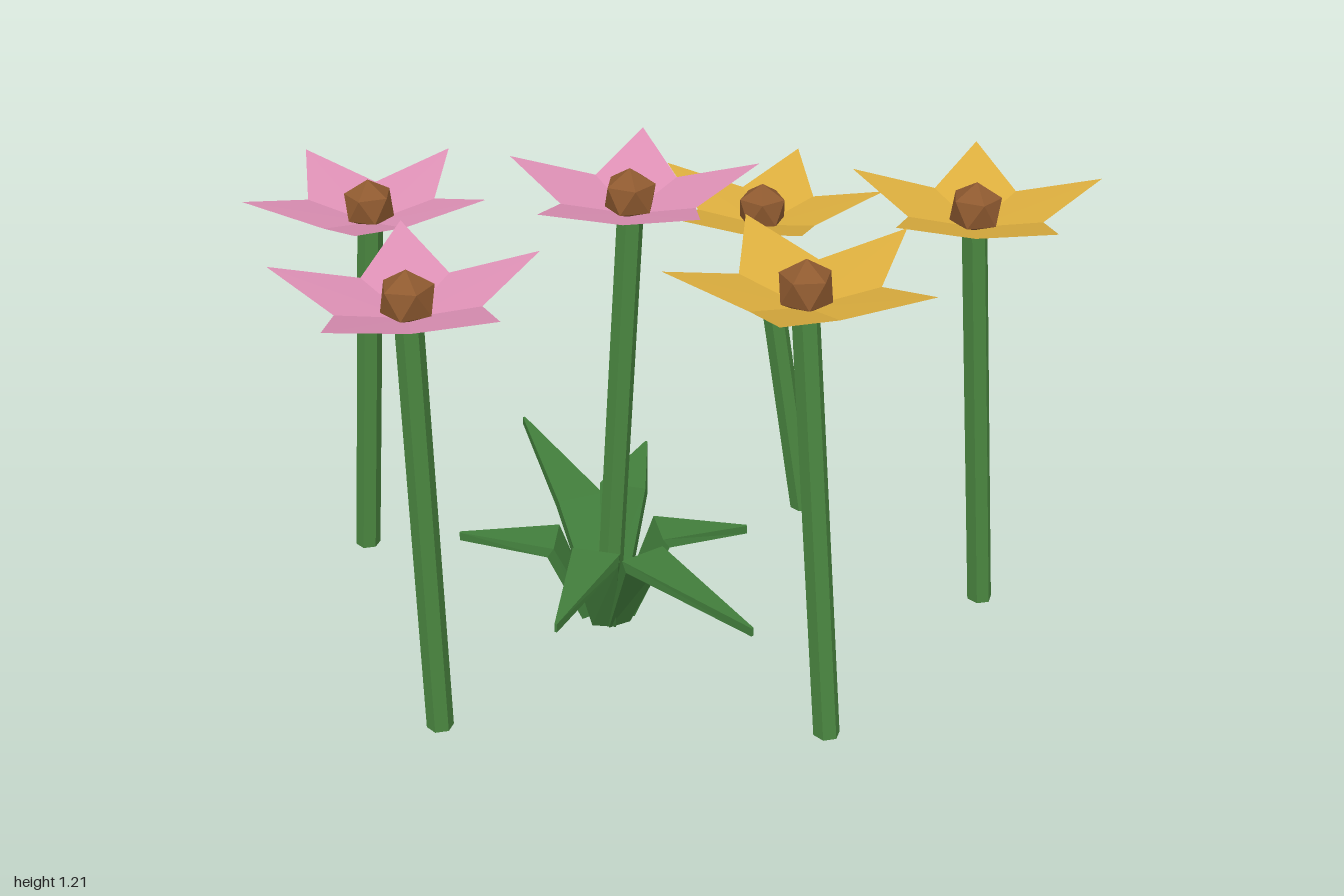
import * as THREE from 'three';

const mat = (name, color, side = THREE.FrontSide) => {
  const m = new THREE.MeshStandardMaterial({ color, side });
  m.name = name;
  return m;
};

// Faceted geometry from a flat list of triangle corners
function facets(corners) {
  const g = new THREE.BufferGeometry().setFromPoints(corners);
  g.computeVertexNormals();
  return g;
}

// Shallow five-pointed bowl of kite-shaped petals
function petalGeometry() {
  const at = (r, y, a) => new THREE.Vector3(r * Math.cos(a), y, -r * Math.sin(a));
  const corners = [];
  const mid = new THREE.Vector3(0, -0.047, 0);
  const step = Math.PI / 5;
  for (let i = 0; i < 5; i++) {
    const a = i * 2 * step;
    const tip = at(0.31, 0.05, a);
    corners.push(mid, at(0.165, -0.006, a - step), tip);
    corners.push(mid, tip, at(0.165, -0.006, a + step));
  }
  return facets(corners);
}

// Six-sided stem from base to top, with level ends
function stemGeometry(base, top) {
  const g = new THREE.CylinderGeometry(0.032, 0.032, 1, 6).rotateY(Math.PI / 6).translate(0, 0.5, 0);
  const d = top.clone().sub(base);
  const shear = new THREE.Matrix4().set(
    1, d.x, 0, base.x,
    0, d.y, 0, base.y,
    0, d.z, 1, base.z,
    0, 0, 0, 1);
  const flat = g.applyMatrix4(shear).toNonIndexed();
  flat.computeVertexNormals();
  return flat;
}

// Leaf: rectangular sections at the base, the bend and the tip
function leafGeometry(centre, bend, tip) {
  const up = new THREE.Vector3(0, 1, 0);
  const out = bend.clone().sub(centre).setY(0).normalize();
  const fold = tip.clone().sub(bend).setY(0).normalize();
  const base = centre.clone().addScaledVector(out, 0.05);
  const section = (p, f, w, t, lean) => {
    const side = f.clone().cross(up).multiplyScalar(w / 2);
    const n = up.clone().multiplyScalar(1 - lean).addScaledVector(f, -lean).normalize().multiplyScalar(t / 2);
    return [[1, -1], [1, 1], [-1, 1], [-1, -1]].map(([s, h]) =>
      p.clone().addScaledVector(side, s).addScaledVector(n, h));
  };
  const rings = [
    section(base, out, 0.06, 0.03, 0.7),
    section(bend, fold, 0.12, 0.03, 0.4),
    section(tip, fold, 0.006, 0.022, 0),
  ];
  const corners = [];
  for (let k = 0; k < 2; k++) {
    for (let i = 0; i < 4; i++) {
      const j = (i + 1) % 4, p = rings[k], q = rings[k + 1];
      corners.push(p[i], q[i], p[j], p[j], q[i], q[j]);
    }
  }
  const [b, , t] = rings;
  corners.push(b[0], b[1], b[2], b[0], b[2], b[3]);
  corners.push(t[0], t[2], t[1], t[0], t[3], t[2]);
  return facets(corners);
}

export function createModel() {
  const model = new THREE.Group();
  model.name = 'flowerPatch';
  const pink = mat('pinkPetal', 0xdd90b5, THREE.DoubleSide);
  const yellow = mat('yellowPetal', 0xdcae3e, THREE.DoubleSide);
  const brown = mat('brownCentre', 0x8f5a30);
  const stemGreen = mat('stemGreen', 0x4a8640);
  const leafGreen = mat('leafGreen', 0x427e3c);

  const add = (parent, name, geometry, material) => {
    const mesh = new THREE.Mesh(geometry, material);
    mesh.name = name;
    parent.add(mesh);
    return mesh;
  };

  const petals = petalGeometry();
  const core = new THREE.IcosahedronGeometry(0.067).rotateX(-Math.atan((1 + Math.sqrt(5)) / 2));

  // Flowers: head position, foot x and z, turn in degrees, petal colour
  const flowers = [
    [[-0.685, 1.0, -0.505], [-0.745, -0.535], 30, pink],
    [[-0.69, 1.122, 0.325], [-0.675, 0.34], 59, pink],
    [[-0.12, 1.152, -0.057], [-0.19, -0.055], 0, pink],
    [[0.32, 0.897, -0.497], [0.435, -0.455], 15, yellow],
    [[0.68, 1.098, 0.085], [0.75, 0.1], 1.5, yellow],
    [[0.145, 1.137, 0.5], [0.2, 0.58], 44, yellow],
  ];
  for (const [head, foot, turn, colour] of flowers) {
    const flower = new THREE.Group();
    flower.name = 'flower';
    const h = new THREE.Vector3(...head);
    const top = h.clone().setY(h.y - 0.045);
    add(flower, 'stem', stemGeometry(new THREE.Vector3(foot[0], 0.02, foot[1]), top), stemGreen);
    const blossom = add(flower, 'petals', petals, colour);
    blossom.position.copy(h);
    blossom.rotation.y = -THREE.MathUtils.degToRad(turn);
    const middle = add(flower, 'flowerCentre', core, brown);
    middle.position.copy(h);
    middle.rotation.y = blossom.rotation.y;
    model.add(flower);
  }

  // Leaf tuft: bend and tip of each leaf
  const tuft = new THREE.Group();
  tuft.name = 'leafTuft';
  const centre = new THREE.Vector3(-0.19, 0.018, -0.06);
  const leaves = [
    [[-0.22, 0.235, -0.26], [-0.29, 0.255, -0.685]],
    [[-0.32, 0.225, -0.09], [-0.545, 0.23, -0.16]],
    [[-0.25, 0.28, 0.1], [-0.4, 0.275, 0.38]],
    [[-0.135, 0.275, 0.13], [0.03, 0.295, 0.53]],
    [[-0.12, 0.3, -0.18], [-0.02, 0.315, -0.365]],
    [[-0.05, 0.235, -0.055], [0.17, 0.215, -0.05]],
  ];
  for (const [bend, tip] of leaves) {
    add(tuft, 'leaf', leafGeometry(centre, new THREE.Vector3(...bend), new THREE.Vector3(...tip)), leafGreen);
  }
  model.add(tuft);
  return model;
}
